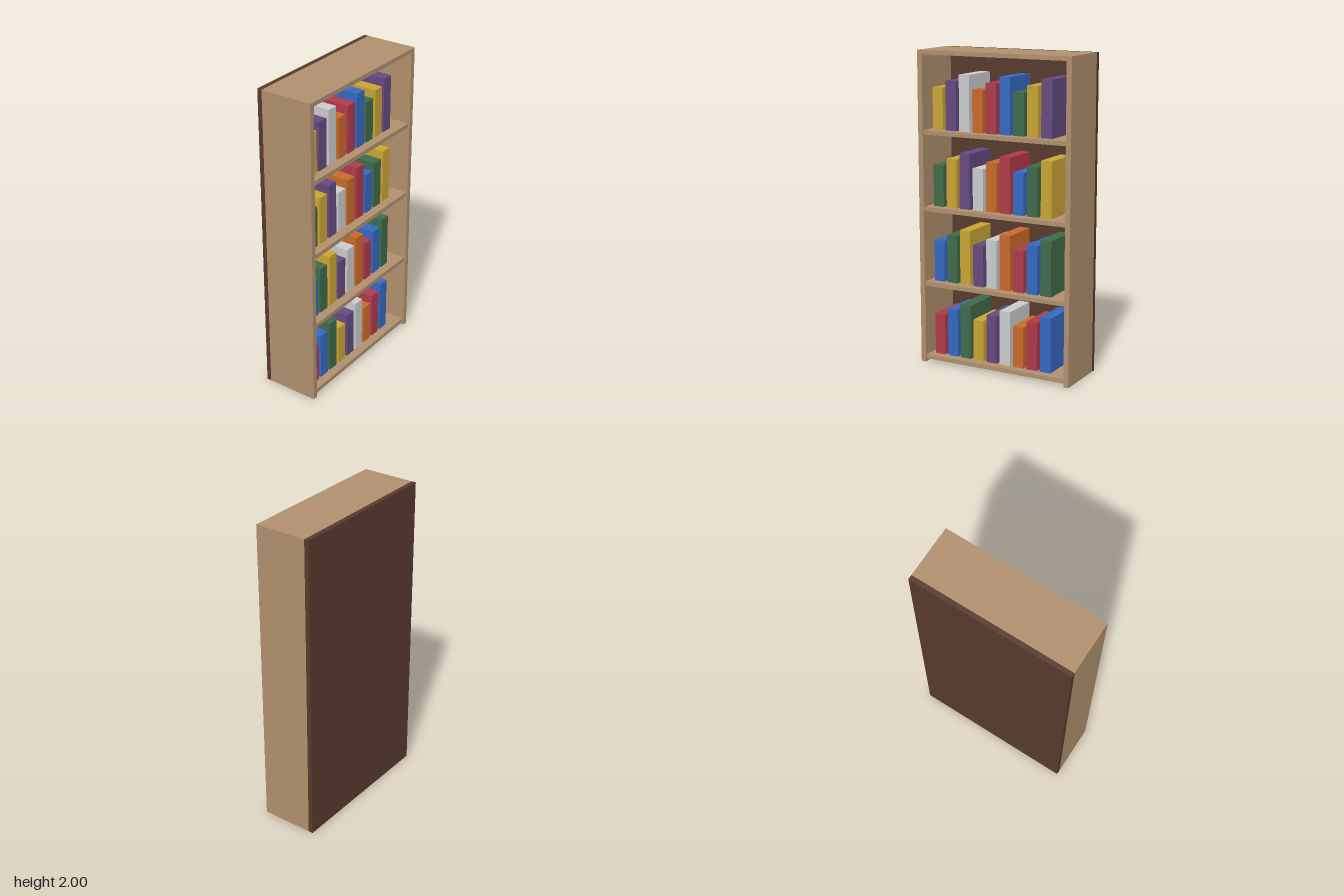
import * as THREE from 'three';

const paint = (name, color) => {
  const m = new THREE.MeshStandardMaterial({ color });
  m.name = name;
  return m;
};

export function createModel() {
  const group = new THREE.Group();
  group.name = 'bookcase';

  const wood = paint('lightWood', 0xb0906e);
  const darkWood = paint('darkWood', 0x583a2d);
  const covers = [
    paint('red', 0xb03a4a),
    paint('blue', 0x3569c2),
    paint('green', 0x406b4b),
    paint('yellow', 0xcaa534),
    paint('purple', 0x654a80),
    paint('white', 0xcbccce),
    paint('orange', 0xca6a2c),
  ];

  // Box given by its minimum and maximum corners
  const box = (name, material, [x0, y0, z0], [x1, y1, z1], parent = group) => {
    const mesh = new THREE.Mesh(new THREE.BoxGeometry(x1 - x0, y1 - y0, z1 - z0), material);
    mesh.position.set((x0 + x1) / 2, (y0 + y1) / 2, (z0 + z1) / 2);
    mesh.name = name;
    parent.add(mesh);
  };

  const W = 0.527, INNER = 0.494, FRONT = 0.185, PANEL = -0.155;

  // Carcass
  box('backPanel', darkWood, [-W, 0, -FRONT], [W, 2, PANEL]);
  box('rightSide', wood, [-W, 0, PANEL], [-INNER, 2, FRONT]);
  box('leftSide', wood, [INNER, 0, PANEL], [W, 2, FRONT]);
  box('topBoard', wood, [-INNER, 1.973, PANEL], [INNER, 2, FRONT]);

  // Shelves, each with a row of nine books
  const heights = [0.265, 0.309, 0.351];
  for (let row = 0; row < 4; row++) {
    const y = 0.046 + row * 0.486;
    box('shelf', wood, [-INNER, y - 0.027, PANEL], [INNER, y, 0.175]);

    const books = new THREE.Group();
    books.name = 'bookRow';
    group.add(books);
    for (let i = 0; i < 9; i++) {
      const x = -0.459 + i * 0.0947;
      const cover = covers[(row + i) % covers.length];
      box('book', cover, [x, y, -0.14], [x + 0.073, y + heights[i % 3], 0.12], books);
    }
  }
  return group;
}
